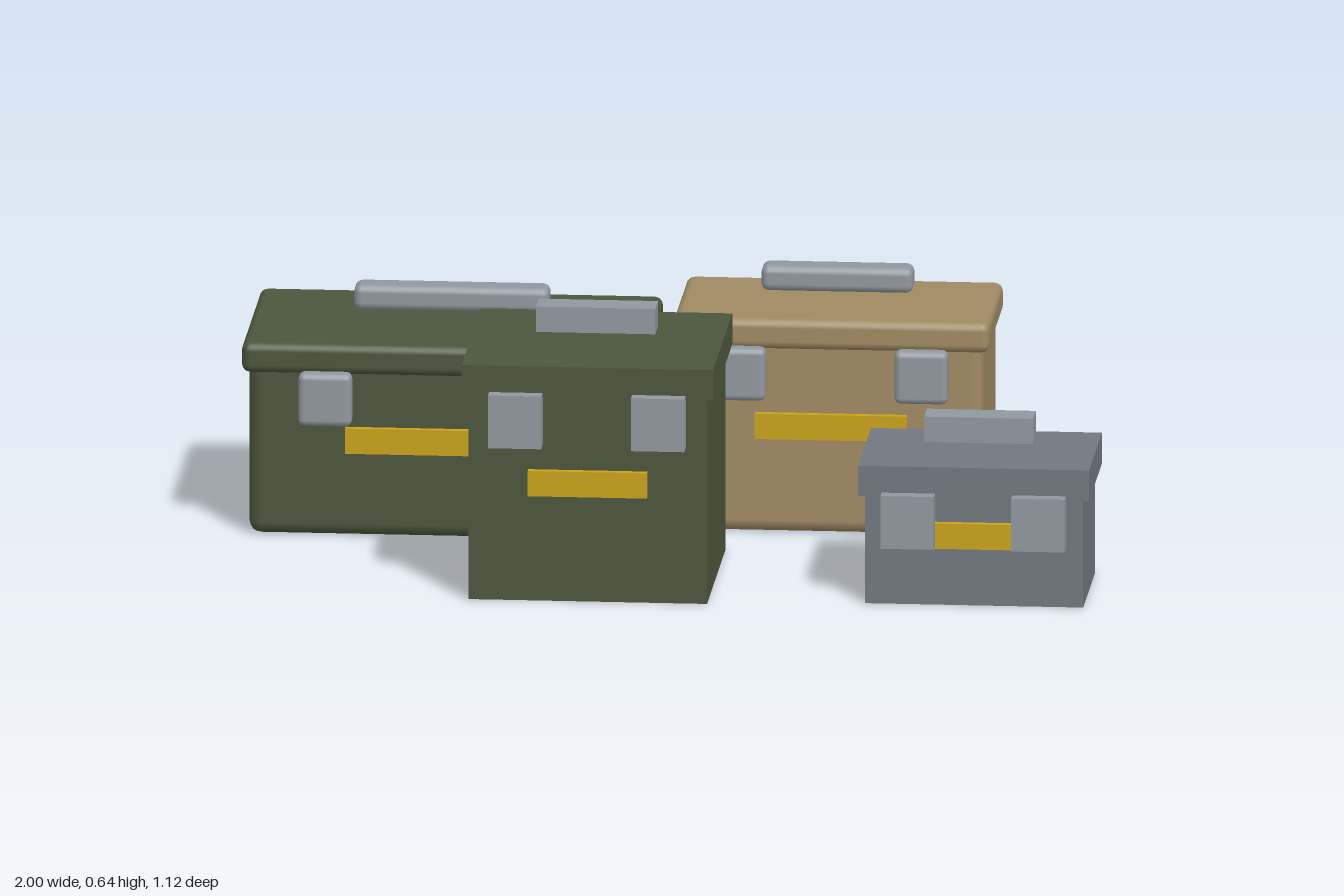
import * as THREE from 'three';
import { RoundedBoxGeometry } from 'three/addons/geometries/RoundedBoxGeometry.js';

const mat = (color) => new THREE.MeshStandardMaterial({ color });

// One crate: x, z = centre; w, d = body size; lidY = underside of the lid
function crate({ name, x, z, w, d, lidY, color, rounded }, metal, yellow) {
  const group = new THREE.Group();
  group.name = name;
  group.position.set(x, 0, z);
  const shell = mat(color);

  const block = (part, size, pos, material, radius = 0) => {
    const geometry = rounded && radius
      ? new RoundedBoxGeometry(...size, 2, radius)
      : new THREE.BoxGeometry(...size);
    const mesh = new THREE.Mesh(geometry, material);
    mesh.name = part;
    mesh.position.set(...pos);
    group.add(mesh);
  };

  const lidH = 0.072;
  const bodyH = lidY + lidH / 2;
  const front = d / 2;

  // Body and overhanging lid
  block('body', [w, bodyH, d], [0, bodyH / 2, 0], shell, 0.03);
  block('lid', [w + 0.03, lidH, d + 0.028], [0, bodyH, 0], shell, 0.02);

  // Carry handle hovering above the lid
  block('handle', [w / 2, 0.06, 0.075], [0, lidY + lidH + 0.054, 0], metal, 0.018);

  // Pair of front latches
  for (const side of [-1, 1]) {
    block(side < 0 ? 'rightLatch' : 'leftLatch', [0.123, 0.125, 0.047],
      [side * w * 0.3, lidY - 0.053, front + 0.0235], metal, 0.015);
  }

  // Coloured front label
  block('label', [w / 2, 0.06, 0.03], [0, bodyH / 2 + 0.02, front + 0.002], yellow);
  return group;
}

export function createModel() {
  const model = new THREE.Group();
  model.name = 'storageCrates';
  const metal = mat(0x91989f);
  const yellow = mat(0xc9a318);
  const green = 0x4c563c;

  const crates = [
    { name: 'longGreenCrate', x: -0.535, z: -0.295, w: 0.9, d: 0.505, lidY: 0.385, color: green, rounded: true },
    { name: 'tanCrate', x: 0.35, z: -0.347, w: 0.7, d: 0.38, lidY: 0.437, color: 0xa08a64, rounded: true },
    { name: 'tallGreenCrate', x: -0.155, z: 0.263, w: 0.55, d: 0.505, lidY: 0.486, color: green, rounded: false },
    { name: 'smallGreyCrate', x: 0.733, z: 0.314, w: 0.503, d: 0.327, lidY: 0.257, color: 0x727880, rounded: false },
  ];
  for (const spec of crates) model.add(crate(spec, metal, yellow));
  return model;
}
